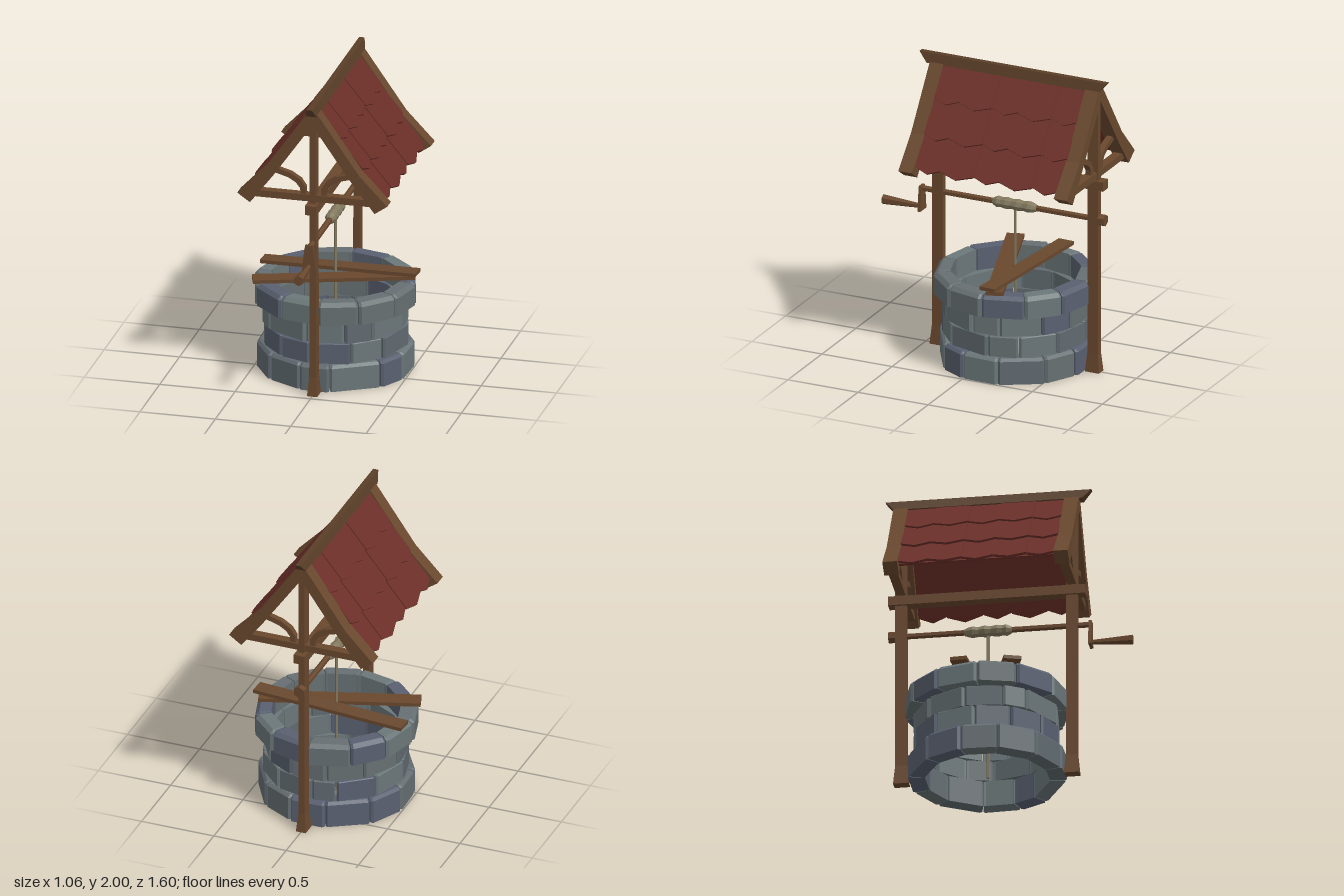
import * as THREE from 'three';

const mat = (color) => new THREE.MeshStandardMaterial({ color, flatShading: true, roughness: 0.9 });
const WOOD = mat(0x69482e), DARK_WOOD = mat(0x5a3f28), ROOF = mat(0x6b2f28), ROPE = mat(0x83795f);
const STONES = [0x6b7779, 0x606a70, 0x596070, 0x666f72].map(mat);
const CZ = -0.14; // centre of the well along z

let seed = 7;
const rand = () => (seed = (seed * 16807) % 2147483647) / 2147483647;

function add(parent, name, geometry, material, x = 0, y = 0, z = 0) {
  const mesh = new THREE.Mesh(geometry, material);
  mesh.name = name;
  mesh.position.set(x, y, z);
  parent.add(mesh);
  return mesh;
}

const box = (w, h, d) => new THREE.BoxGeometry(w, h, d);

// Closed solid through a row of matching convex sections
function loft(sections) {
  const pos = [];
  const tri = (a, b, c) => pos.push(...a, ...b, ...c);
  const n = sections[0].length;
  for (let i = 0; i < sections.length - 1; i++) {
    for (let j = 0; j < n; j++) {
      const k = (j + 1) % n, p = sections[i], q = sections[i + 1];
      tri(p[j], q[j], p[k]);
      tri(p[k], q[j], q[k]);
    }
  }
  const first = sections[0], last = sections.at(-1);
  for (let j = 1; j < n - 1; j++) {
    tri(first[0], first[j], first[j + 1]);
    tri(last[0], last[j + 1], last[j]);
  }
  const g = new THREE.BufferGeometry();
  g.setAttribute('position', new THREE.Float32BufferAttribute(pos, 3));
  g.computeVertexNormals();
  return g;
}

// Upright tapered timber from [y, half width x, half width z]
const taper = (levels) => loft(levels.map(([y, hx, hz]) =>
  [[-hx, y, -hz], [hx, y, -hz], [hx, y, hz], [-hx, y, hz]]));

// Flat outline extruded along z, centred on z = 0
function plate(points, depth, side = 1) {
  const shape = new THREE.Shape(points.map(([x, y]) => new THREE.Vector2(x * side, y)));
  return new THREE.ExtrudeGeometry(shape, { depth, bevelEnabled: false }).translate(0, 0, -depth / 2);
}

// Stone block between two angles, with chamfered outer edges
function stone(a0, a1, ri, ro, y0, y1, c) {
  const section = (a, inset) => {
    const r = ro - inset;
    return [[ri, y0], [r, y0], [r, y1 - c], [r - c, y1 - inset * 0.4], [ri, y1 - inset * 0.4]]
      .map(([q, y]) => [q * Math.sin(a), y, q * Math.cos(a)]);
  };
  const e = 0.03;
  return loft([section(a0, 0.012), section(a0 + e, 0), section(a1 - e, 0), section(a1, 0.012)]);
}

function buildWall() {
  const wall = new THREE.Group();
  wall.name = 'stoneWall';
  wall.position.z = CZ;
  // [bottom, top, inner radius, outer radius, chamfer, turn, width variation]
  const rows = [
    [0, 0.175, 0.4, 0.512, 0.018, 0.27, 0.12],
    [0.178, 0.315, 0.4, 0.48, 0.005, 0.48, 0.14],
    [0.32, 0.457, 0.4, 0.475, 0.005, 0.28, 0.14],
    [0.462, 0.61, 0.42, 0.532, 0.025, 0.02, 0.03],
  ];
  const count = 12, step = Math.PI * 2 / count;
  for (const [y0, y1, ri, ro, c, turn, vary] of rows) {
    const cuts = Array.from({ length: count }, (_, i) => turn + i * step + (rand() - 0.5) * vary * 1.6);
    cuts.push(cuts[0] + Math.PI * 2);
    for (let i = 0; i < count; i++) {
      const r = ro - rand() * 0.012;
      add(wall, 'stone', stone(cuts[i] + 0.006, cuts[i + 1] - 0.006, ri, r, y0, y1, c),
        STONES[Math.floor(rand() * STONES.length)]);
    }
  }
  return wall;
}

// Post, rafters, tie beam and curved braces at one end
function buildGable(z) {
  const gable = new THREE.Group();
  gable.name = 'gableFrame';
  gable.position.z = z;
  add(gable, 'post', taper([[0, 0.034, 0.05], [0.13, 0.022, 0.038], [1.87, 0.02, 0.037]]), WOOD);
  add(gable, 'tieBeam', box(0.76, 0.045, 0.06), WOOD, 0, 1.357, 0);
  const rafter = [[0, 1.97], [0.03, 1.95], [0.31, 1.55], [0.497, 1.355], [0.413, 1.297], [0.26, 1.495], [0, 1.865]];
  const brace = [[0.05, 1.375], [0.052, 1.425], [0.085, 1.475], [0.15, 1.515], [0.24, 1.54],
    [0.26, 1.51], [0.165, 1.482], [0.115, 1.452], [0.087, 1.415], [0.085, 1.375]];
  for (const s of [1, -1]) {
    add(gable, 'rafter', plate(rafter, 0.095, s), WOOD);
    add(gable, 'curvedBrace', plate(brace, 0.04, s), WOOD);
  }
  return gable;
}

// One roof slope: backing board and three overlapping rows of pointed shingles
function buildSlope(side) {
  const slope = new THREE.Group();
  slope.name = 'roofSlope';
  const plane = new THREE.Group();
  const down = new THREE.Vector3(0.589, -0.808, 0).normalize();
  const up = down.clone().negate(), normal = new THREE.Vector3(-down.y, down.x, 0);
  plane.applyMatrix4(new THREE.Matrix4().makeBasis(new THREE.Vector3(0, 0, -1), up, normal));
  plane.position.set(0.012, 1.94, 0);
  slope.add(plane);
  add(plane, 'roofBoard', box(1.02, 0.7, 0.014), ROOF, 0, -0.35, -0.015);
  const edges = [-0.51, -0.325, -0.095, 0.095, 0.325, 0.51];
  const ends = [0.235, 0.48, 0.705];
  ends.forEach((end, row) => {
    const length = row ? end - ends[row - 1] + 0.04 : end;
    for (let i = 0; i < 5; i++) {
      const a = edges[i], b = edges[i + 1], raised = i % 2;
      const l = length + raised * 0.008;
      const tile = plate([[a, 0], [a, -l], [a + (b - a) * 0.5, -l - 0.036], [b, -l], [b, 0]], 0.016);
      const mesh = add(plane, 'shingle', tile, ROOF, 0, length - end, raised * 0.007 - 0.004);
      mesh.rotation.x = -0.06;
    }
  });
  slope.position.z = -0.145;
  if (side < 0) slope.rotation.y = Math.PI;
  return slope;
}

function buildWinch() {
  const winch = new THREE.Group();
  winch.name = 'winch';
  const rod = (r0, r1, z0, z1, sides) =>
    new THREE.CylinderGeometry(r1, r0, z1 - z0, sides).rotateX(Math.PI / 2).translate(0, 0, (z0 + z1) / 2);
  add(winch, 'axle', rod(0.02, 0.02, -0.76, 0.54, 6), WOOD, 0, 1.05);
  add(winch, 'axleCap', rod(0.04, 0.04, -0.78, -0.735, 6), WOOD, 0, 1.05);
  // Crank arm widens towards the handle
  add(winch, 'crankArm', taper([[0.9, 0.046, 0.01], [1.03, 0.032, 0.01], [1.07, 0.025, 0.01]]), WOOD, 0, 0, 0.53);
  add(winch, 'handle', rod(0.016, 0.034, 0.54, 0.805, 6), WOOD, 0, 0.925);
  const coil = [[0, -0.158], [0.022, -0.155], [0.034, -0.125], [0.04, -0.1], [0.033, -0.06], [0.041, -0.02],
    [0.034, 0.02], [0.041, 0.06], [0.035, 0.095], [0.04, 0.12], [0.022, 0.155], [0, 0.158]];
  add(winch, 'ropeCoil', new THREE.LatheGeometry(coil.map(([r, t]) => new THREE.Vector2(r, t)), 8)
    .rotateX(Math.PI / 2), ROPE, 0, 1.05, -0.135);
  add(winch, 'rope', new THREE.CylinderGeometry(0.01, 0.01, 1.02, 6), ROPE, 0, 0.52, -0.135);
  return winch;
}

// Board laid between two end points
function plank(parent, from, to, width) {
  const a = new THREE.Vector3(...from), b = new THREE.Vector3(...to);
  const mesh = add(parent, 'plank', box(a.distanceTo(b), 0.024, width), WOOD);
  mesh.position.copy(a).lerp(b, 0.5);
  mesh.quaternion.setFromUnitVectors(new THREE.Vector3(1, 0, 0), b.sub(a).normalize());
}

export function createModel() {
  const model = new THREE.Group();
  model.name = 'waterWell';
  model.add(buildWall(), buildGable(0.41), buildGable(-0.698), buildSlope(1), buildSlope(-1), buildWinch());
  add(model, 'longBeam', box(0.076, 0.062, 1.28), WOOD, 0, 1.293, -0.14);
  add(model, 'ridgeCap', taper([[1.935, 0.037, 0.61], [2, 0.018, 0.668]]), DARK_WOOD, 0, 0, -0.13);
  plank(model, [-0.49, 0.626, 0.1], [0.5, 0.626, -0.23], 0.115);
  plank(model, [-0.515, 0.632, -0.25], [0.53, 0.66, -0.19], 0.11);
  return model;
}
